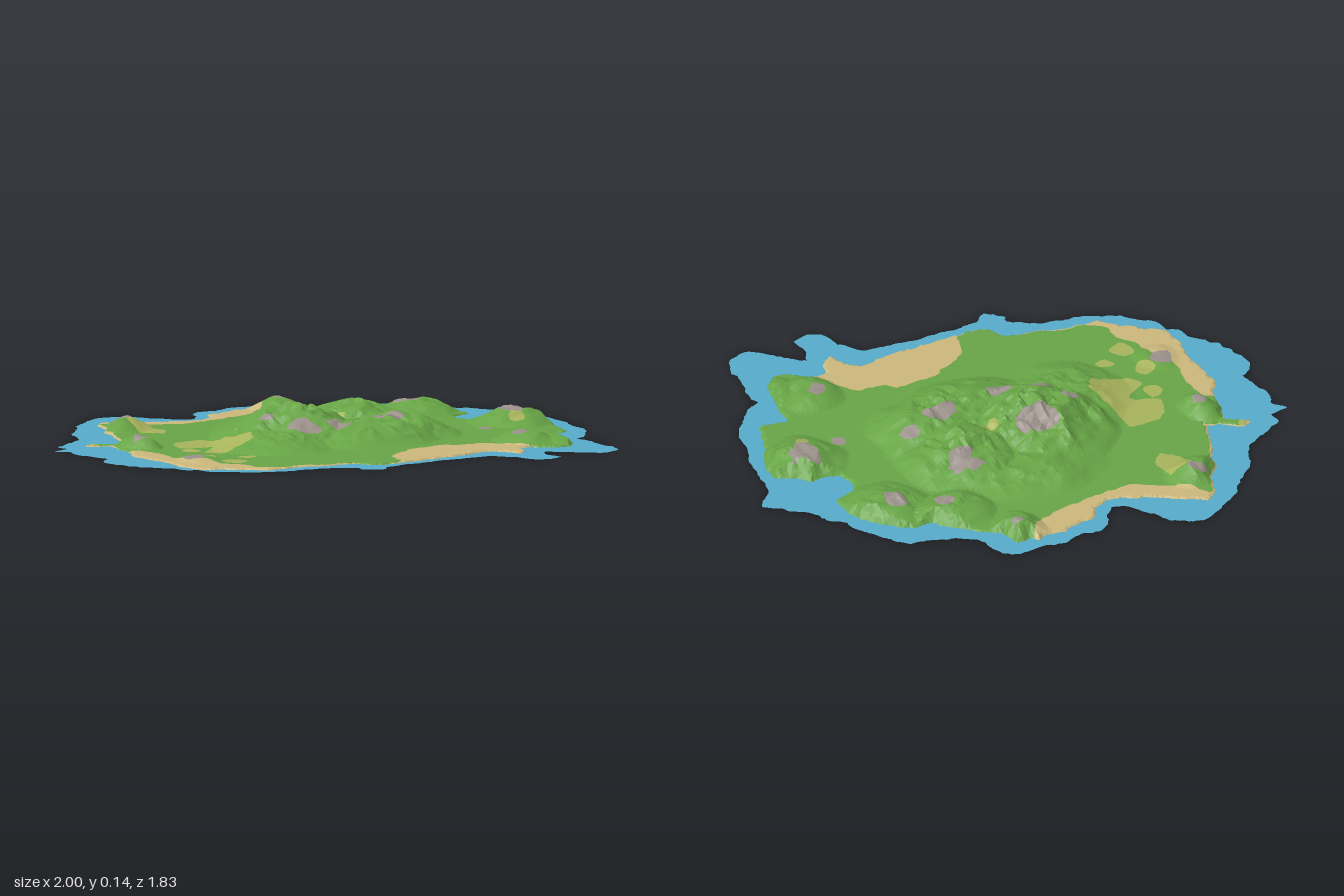
import * as THREE from 'three';

// Outlines as x, z pairs
const SEA = [-.31,-.92, -.2,-.86, -.18,-.8, -.14,-.74, -.13,-.7, -.07,-.67, -.03,-.7, 0,-.75, .05,-.78, .12,-.76, .2,-.78,
  .28,-.76, .38,-.76, .43,-.73, .45,-.6, .52,-.55, .62,-.5, .68,-.49, .73,-.42, .8,-.3, .8,-.25, .85,-.2, .87,-.13, .92,-.08,
  1.01,0, .92,.08, .91,.15, .88,.28, .84,.35, .83,.42, .8,.48, .7,.58, .65,.6, .65,.68, .62,.74, .62,.82, .58,.9, .5,.91,
  .45,.86, .35,.74, .32,.8, .32,.88, .24,.89, .2,.85, .2,.79, .14,.7, .1,.68, -.1,.65, -.3,.64, -.36,.68, -.41,.62, -.4,.58,
  -.5,.51, -.62,.48, -.75,.42, -.86,.3, -.86,.24, -.9,.22, -.91,.15, -.97,.06, -1.01,-.08, -.98,-.14, -.93,-.17, -.95,-.32,
  -.92,-.38, -.96,-.44, -.88,-.44, -.88,-.5, -.7,-.58, -.63,-.7, -.56,-.75, -.5,-.82, -.38,-.89];
const LAND = [-.39,-.81, -.33,-.77, -.27,-.72, -.14,-.64, -.08,-.62, -.01,-.64, .02,-.7, .1,-.7, .17,-.72, .24,-.7, .27,-.72,
  .29,-.69, .35,-.69, .36,-.61, .42,-.56, .5,-.47, .54,-.42, .61,-.41, .7,-.33, .75,-.25, .76,-.15, .75,-.1, .66,-.08,
  .64,-.03, .66,.03, .7,.05, .76,.05, .8,.1, .87,.14, .85,.22, .8,.3, .76,.38, .73,.46, .62,.44, .6,.55, .56,.68, .51,.72,
  .45,.7, .39,.64, .33,.64, .31,.69, .26,.73, .24,.65, .2,.61, .05,.62, -.1,.61, -.27,.6, -.32,.57, -.35,.5, -.45,.48,
  -.55,.43, -.68,.42, -.73,.36, -.78,.3, -.85,.24, -.86,.13, -.83,.05, -.83,-.15, -.78,-.21, -.76,-.3, -.72,-.38, -.8,-.44,
  -.76,-.46, -.68,-.4, -.64,-.38, -.61,-.48, -.56,-.56, -.53,-.64, -.47,-.7, -.43,-.79];
const BEACHES = [
  [-.46,-.86, -.37,-.7, -.25,-.62, -.2,-.58, 0,-.58, .12,-.59, .22,-.62, .28,-.69, .28,-.86],
  [-.78,-.24, -.74,-.22, -.73,-.1, -.76,0, -.76,.05, -.72,.12, -.72,.2, -.68,.28, -.68,.36, -.6,.44, -.7,.5, -.95,.3, -.95,-.24],
  [-.22,.66, -.18,.55, -.15,.48, -.03,.43, 0,.41, .18,.41, .2,.45, .3,.47, .36,.56, .41,.66, .35,.8, .2,.8],
];
const MEADOWS = [
  [-.52,-.27, -.4,-.26, -.4,-.12, -.37,-.02, -.42,.04, -.57,.03, -.6,-.03, -.48,-.09, -.6,-.15, -.56,-.23],
  [-.44,-.62, -.35,-.62, -.35,-.5, -.4,-.46, -.45,-.52],
];
// Round patches: x, z, radius
const MEADOW_SPOTS = [[-.65, .05, .04], [-.55, .15, .03], [-.65, .2, .045], [.08, -.06, .03], [.68, .24, .035], [-.77, -.44, .03], [-.6, -.09, .03]];
const ROCK_SPOTS = [[-.68, -.28, .04], [-.74, .08, .04], [-.07, -.15, .07], [.28, -.21, .055], [-.2, .08, .045], [-.08, .12, .04],
  [.18, .1, .055], [.34, .06, .04], [-.25, -.05, .03], [.6, -.27, .035], [.72, .16, .06], [.54, .23, .035], [.45, .52, .03],
  [.46, -.36, .03], [-.44, -.65, .035], [.31, -.62, .025]];
// Hills: x, z, height, radius in x, radius in z
const HILLS = [[-.12, -.08, .118, .3, .3], [.22, -.12, .1, .23, .27], [-.3, .02, .06, .24, .26], [.08, .12, .08, .34, .24],
  [.05, -.32, .045, .28, .2], [.25, .1, .075, .2, .22], [-.68, -.28, .045, .08, .1], [-.45, -.64, .045, .13, .11],
  [.3, -.62, .048, .11, .12], [.44, -.4, .045, .16, .13], [.62, -.25, .05, .18, .16], [.72, .17, .058, .18, .16],
  [.46, .54, .042, .13, .13], [.55, .62, .025, .1, .1], [-.73, .08, .014, .08, .1]];

// Seeded value noise in 0..1
function hash(i, j) {
  let n = Math.imul(i, 374761393) + Math.imul(j, 668265263);
  n = Math.imul(n ^ (n >>> 13), 1274126177);
  return ((n ^ (n >>> 16)) >>> 0) / 4294967295;
}
function noise(x, z) {
  const i = Math.floor(x), j = Math.floor(z);
  const s = t => t * t * (3 - 2 * t), u = s(x - i), v = s(z - j), mix = THREE.MathUtils.lerp;
  return mix(mix(hash(i, j), hash(i + 1, j), u), mix(hash(i, j + 1), hash(i + 1, j + 1), u), v);
}
const ridge = (x, z) => 1 - Math.abs(2 * noise(x, z) - 1);

// Signed distance to an outline, positive inside
function inside(poly, x, z) {
  let best = Infinity, sign = -1;
  for (let i = 0, j = poly.length - 2; i < poly.length; j = i, i += 2) {
    const ax = poly[i], az = poly[i + 1], ex = poly[j] - ax, ez = poly[j + 1] - az;
    const t = THREE.MathUtils.clamp(((x - ax) * ex + (z - az) * ez) / (ex * ex + ez * ez), 0, 1);
    best = Math.min(best, Math.hypot(x - ax - t * ex, z - az - t * ez));
    if ((az > z) !== (az + ez > z) && x < ax + ex * (z - az) / ez) sign = -sign;
  }
  return sign * best;
}
const spots = (list, x, z) => Math.max(...list.map(([a, b, r]) => r - Math.hypot(x - a, z - b)));

// Terrain height: craggy hills on low ground that falls to the shore
function height(x, z, shore) {
  const wx = x + .04 * (noise(x * 9, z * 9) - .5), wz = z + .04 * (noise(x * 9 + 40, z * 9) - .5);
  let hill = 0;
  for (const [a, b, h, rx, rz] of HILLS) {
    const d = ((wx - a) / rx) ** 2 + ((wz - b) / rz) ** 2;
    if (d < 1) hill = Math.max(hill, h * (1 - d) ** 1.2);
  }
  const crag = .62 + .3 * ridge(x * 11, z * 11 + 7) + .22 * ridge(x * 25 + 3, z * 25);
  return Math.min(.006 + hill * crag, shore * 1.1);
}

// A vertex is [x, y, z, sea, land, rock, sand, meadow]
function sample(x, z) {
  const wob = .012 * (noise(x * 38, z * 38) - .5) + .008 * (noise(x * 80, z * 80) - .5);
  const rough = .045 * (noise(x * 24 + 9, z * 24) - .5) + .02 * (noise(x * 60, z * 60) - .5);
  const land = inside(LAND, x, z) + wob;
  const sand = Math.max(...BEACHES.map(p => inside(p, x, z))) + wob;
  const rim = .016 * noise(x * 7 + 20, z * 7) - .001 - land - Math.max(0, x - .1) * .03;
  const meadow = Math.max(spots(MEADOW_SPOTS, x, z) + rough * .6, ...MEADOWS.map(p => inside(p, x, z) + wob));
  return [x, height(x, z, land), z, inside(SEA, x, z) + wob, land, spots(ROCK_SPOTS, x, z) + rough, Math.max(sand, rim), meadow];
}

// Cuts a convex polygon where field k is zero; returns [positive, negative] parts
function cut(poly, k) {
  const parts = [[], []];
  poly.forEach((p, i) => {
    const q = poly[(i + 1) % poly.length];
    parts[p[k] > 0 ? 0 : 1].push(p);
    if ((p[k] > 0) !== (q[k] > 0)) {
      const t = p[k] / (p[k] - q[k]), m = p.map((a, n) => a + (q[n] - a) * t);
      parts[0].push(m);
      parts[1].push(m);
    }
  });
  return parts;
}

export function createModel() {
  const group = new THREE.Group();
  group.name = 'island';
  const colors = { water: 0x57abcb, rock: 0x9c918b, sand: 0xccb87c, meadow: 0xa8b45c, grass: 0x68a546 };
  const faces = { water: [], rock: [], sand: [], meadow: [], grass: [] };
  const add = (name, poly) => {
    for (let i = 2; i < poly.length; i++)
      for (const p of [poly[0], poly[i - 1], poly[i]])
        faces[name].push(p[0], name === 'water' ? 0 : Math.max(0, p[1]), p[2]);
  };

  // Sample a square grid, then cut every triangle along shore and ground cover borders
  const N = 150, at = i => -1 + 2 * i / N, grid = [];
  for (let j = 0; j <= N; j++) grid.push(Array.from({ length: N + 1 }, (_, i) => sample(at(i), at(j))));
  for (let j = 0; j < N; j++) for (let i = 0; i < N; i++) {
    const a = grid[j][i], b = grid[j + 1][i], c = grid[j + 1][i + 1], d = grid[j][i + 1];
    for (const tri of (i + j) % 2 ? [[a, b, c], [a, c, d]] : [[a, b, d], [b, c, d]]) {
      const [land, sea] = cut(tri, 4);
      add('water', cut(sea, 3)[0]);
      const [rock, soil] = cut(land, 5);
      const [sand, green] = cut(soil, 6);
      const [meadow, grass] = cut(green, 7);
      add('rock', rock);
      add('sand', sand);
      add('meadow', meadow);
      add('grass', grass);
    }
  }

  // One mesh for each ground cover
  for (const name in faces) {
    const geometry = new THREE.BufferGeometry();
    geometry.setAttribute('position', new THREE.Float32BufferAttribute(faces[name], 3));
    geometry.computeVertexNormals();
    const material = new THREE.MeshStandardMaterial({ color: colors[name], flatShading: true, side: THREE.DoubleSide });
    material.name = name;
    const mesh = new THREE.Mesh(geometry, material);
    mesh.name = name;
    group.add(mesh);
  }
  return group;
}
